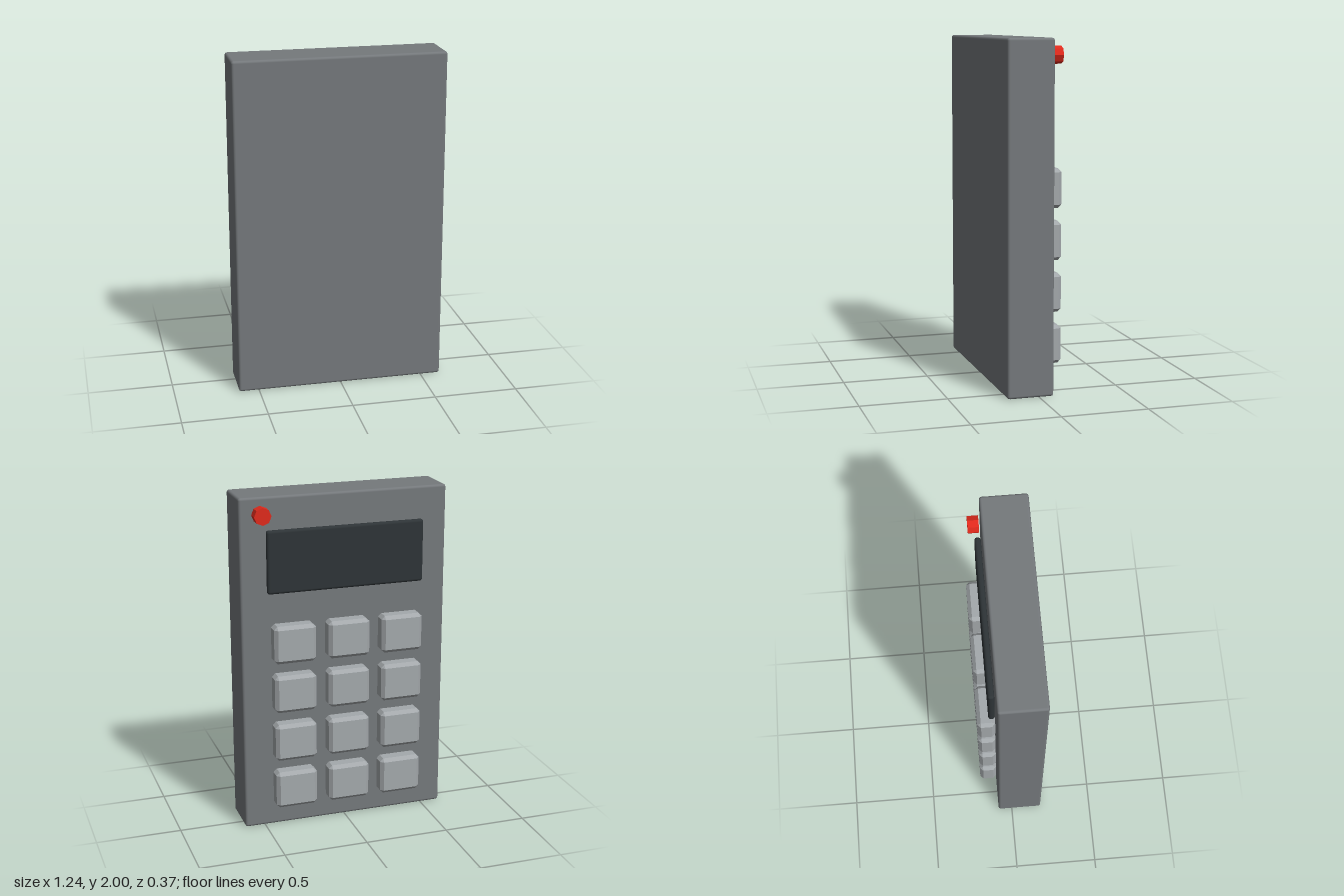
import * as THREE from 'three';
import { RoundedBoxGeometry } from 'three/addons/geometries/RoundedBoxGeometry.js';
import { ConvexGeometry } from 'three/addons/geometries/ConvexGeometry.js';

// Box with every edge cut by a single flat chamfer c
function chamferBox(w, h, d, c) {
  const half = [w / 2, h / 2, d / 2];
  const points = [];
  for (const sx of [-1, 1]) for (const sy of [-1, 1]) for (const sz of [-1, 1]) {
    for (let full = 0; full < 3; full++) {
      const [x, y, z] = half.map((e, axis) => (axis === full ? e : e - c));
      points.push(new THREE.Vector3(sx * x, sy * y, sz * z));
    }
  }
  return new ConvexGeometry(points);
}

export function createModel() {
  const model = new THREE.Group();
  model.name = 'keypad';

  const paint = (color, flatShading = false) => new THREE.MeshStandardMaterial({ color, flatShading });
  const add = (name, geometry, material, x, y, z, parent = model) => {
    const mesh = new THREE.Mesh(geometry, material);
    mesh.name = name;
    mesh.position.set(x, y, z);
    parent.add(mesh);
    return mesh;
  };

  // Casing: a slab with softly rounded edges
  add('casing', new RoundedBoxGeometry(1.24, 2, 0.27, 2, 0.015), paint(0x75797c), 0, 1, 0.05);

  // Dark display panel
  add('screen', new RoundedBoxGeometry(0.94, 0.37, 0.036, 2, 0.016), paint(0x2e3437), 0, 1.628, -0.107);

  // Indicator light: short eight-sided stud
  const stud = new THREE.CylinderGeometry(0.05, 0.05, 0.062, 8).rotateX(Math.PI / 2);
  add('indicatorLight', stud, paint(0xe02a1c, true), 0.5, 1.905, -0.127);

  // Keys: three columns by four rows
  const keys = new THREE.Group();
  keys.name = 'keys';
  model.add(keys);
  const keyGeometry = chamferBox(0.25, 0.225, 0.102, 0.02);
  const keyMaterial = paint(0xa4a9ac, true);
  for (let row = 0; row < 4; row++) {
    for (let col = -1; col <= 1; col++) {
      add('key', keyGeometry, keyMaterial, col * 0.325, 0.253 + row * 0.3, -0.136, keys);
    }
  }

  return model;
}
